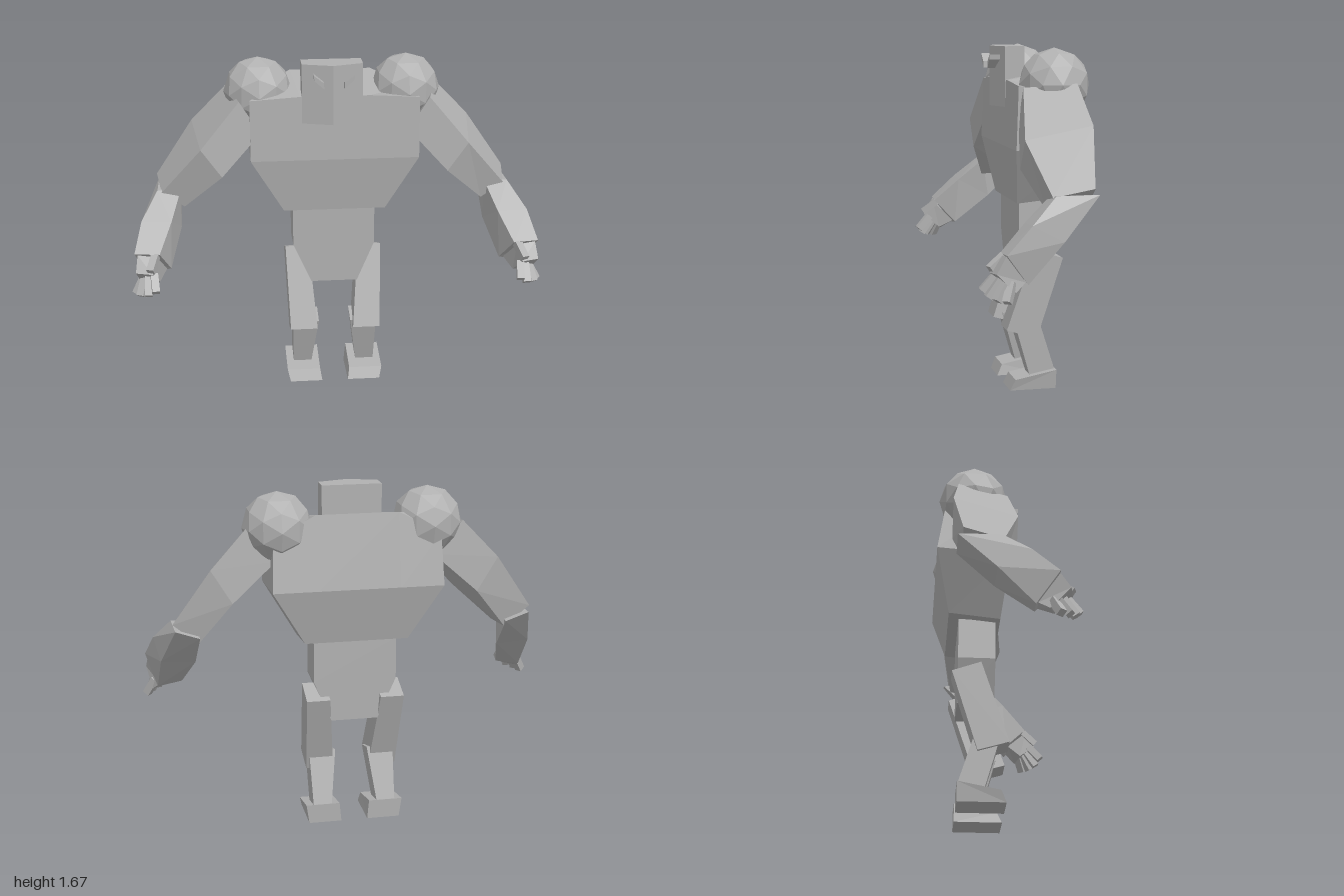
import * as THREE from 'three';

// Lofts equal-length loops into a closed faceted solid. Each loop lists its
// front row, then its back row reversed, so the caps can be closed as strips.
function loft(loops) {
  const n = loops[0].length, tris = [];
  const quad = (a, b, c, d) => tris.push([a, b, c], [a, c, d]);
  for (let k = 0; k + 1 < loops.length; k++)
    for (let i = 0; i < n; i++) {
      const j = (i + 1) % n;
      quad(loops[k][i], loops[k][j], loops[k + 1][j], loops[k + 1][i]);
    }
  const first = loops[0], last = loops[loops.length - 1];
  for (let i = 0; i < n / 2 - 1; i++) {
    quad(first[n - 1 - i], first[n - 2 - i], first[i + 1], first[i]);
    quad(last[i], last[i + 1], last[n - 2 - i], last[n - 1 - i]);
  }
  // Turn every face outward, whichever way the loops run
  let volume = 0;
  for (const [a, b, c] of tris)
    volume += new THREE.Vector3(...a).dot(new THREE.Vector3(...b).cross(new THREE.Vector3(...c)));
  if (volume < 0) tris.forEach(t => t.reverse());
  const g = new THREE.BufferGeometry();
  g.setAttribute('position', new THREE.Float32BufferAttribute(tris.flat(2), 3));
  g.computeVertexNormals();
  return g;
}

// Square bar between two points
function bar(from, to, size) {
  const a = new THREE.Vector3(...from), b = new THREE.Vector3(...to);
  const g = new THREE.BoxGeometry(size, size, a.distanceTo(b));
  const o = new THREE.Object3D();
  o.position.copy(a).lerp(b, 0.5);
  o.lookAt(b);
  o.updateMatrix();
  return g.applyMatrix4(o.matrix);
}

export function createModel() {
  const model = new THREE.Group();
  const grey = new THREE.MeshStandardMaterial({ color: 0xb0b0b0, flatShading: true });
  grey.name = 'stone grey';
  const add = (name, geometry, parent = model) => {
    const m = new THREE.Mesh(geometry, grey);
    m.name = name;
    parent.add(m);
    return m;
  };

  // Torso: half-loops mirrored into [front row, back row]
  const ring = (fo, fm, bo, bm) => {
    const flip = ([x, y, z]) => [-x, y, z];
    return [flip(fo), flip(fm), fm, fo, bo, bm, flip(bm), flip(bo)];
  };
  add('torso', loft([
    ring([0.25, 0.925, 0], [0.13, 0.925, 0], [0.25, 0.95, -0.25], [0.13, 0.95, -0.25]),
    ring([0.41, 1.195, 0.04], [0.2, 1.195, 0.04], [0.41, 1.22, -0.315], [0.2, 1.22, -0.315]),
    ring([0.41, 1.495, 0.03], [0.17, 1.51, 0.03], [0.4, 1.47, -0.275], [0.2, 1.57, -0.26]),
  ]));

  // Waist: rectangular sections narrowing to the hips
  const rect = (x0, x1, y, zf, zb, yb = y) => [[x0, y, zf], [x1, y, zf], [x1, yb, zb], [x0, yb, zb]];
  add('waist', loft([
    rect(-0.115, 0.115, 0.535, -0.02, -0.2),
    rect(-0.205, 0.2, 0.735, -0.02, -0.2),
    rect(-0.205, 0.2, 0.94, -0.02, -0.2),
  ]));

  // Head: prism with a ridge down the face
  const headRing = y => [[-0.16, y, 0.035], [-0.012, y, 0.08], [0.132, y, 0.035],
    [0.132, y, -0.062], [-0.012, y, -0.062], [-0.16, y, -0.062]];
  add('head', loft([headRing(1.38), headRing(1.67)]));

  // Slanted eyes
  for (const s of [-1, 1]) {
    const shape = new THREE.Shape([[0.048, 1.562], [0.095, 1.605], [0.098, 1.63], [0.05, 1.593]]
      .map(([x, y]) => new THREE.Vector2(s * x - 0.01, y)));
    add('eye', new THREE.ExtrudeGeometry(shape, { depth: 0.055, bevelEnabled: false })
      .translate(0, 0, 0.046));
  }

  for (const s of [-1, 1]) {
    const side = s > 0 ? 'left' : 'right';
    const mx = loop => loop.map(([x, y, z]) => [s * x, y, z]);

    // Shoulder ball
    add(side + 'Shoulder', new THREE.IcosahedronGeometry(0.168, 1))
      .position.set(s * 0.362, 1.502, s > 0 ? -0.15 : -0.14);

    // Arm sections: front outer, front inner, back inner, back outer
    const arm = new THREE.Group();
    arm.name = side + 'Arm';
    model.add(arm);
    add(side + 'UpperArm', loft([
      mx([[0.46, 1.49, 0.02], [0.36, 1.33, 0.02], [0.38, 1.35, -0.22], [0.52, 1.51, -0.22]]),
      mx([[0.65, 1.265, 0.055], [0.55, 1.125, 0.055], [0.59, 1.165, -0.25], [0.69, 1.33, -0.25]]),
      mx([[0.845, 1.03, -0.025], [0.735, 0.955, -0.025], [0.75, 0.965, -0.2], [0.87, 1.068, -0.21]]),
    ]), arm);
    add(side + 'Forearm', loft([
      mx([[0.865, 1.04, -0.035], [0.755, 1.03, -0.035], [0.745, 1.0, -0.235], [0.86, 1.04, -0.235]]),
      mx([[0.945, 0.925, 0.09], [0.8, 0.92, 0.09], [0.755, 0.835, -0.065], [0.92, 0.845, -0.06]]),
      mx([[0.98, 0.805, 0.21], [0.86, 0.8, 0.215], [0.81, 0.685, 0.11], [0.93, 0.665, 0.105]]),
    ]), arm);
    add(side + 'Palm', loft([
      mx([[0.965, 0.80, 0.21], [0.875, 0.79, 0.22], [0.83, 0.69, 0.12], [0.92, 0.675, 0.115]]),
      mx([[0.975, 0.725, 0.255], [0.895, 0.72, 0.27], [0.865, 0.65, 0.19], [0.95, 0.635, 0.165]]),
    ]), arm);

    // Fingers fan across the palm, thumb on the front side
    const fingers = [
      [[0.89, 0.71, 0.24], [0.882, 0.64, 0.3]],
      [[0.915, 0.70, 0.22], [0.918, 0.615, 0.28]],
      [[0.93, 0.69, 0.2], [0.955, 0.605, 0.25]],
      [[0.935, 0.68, 0.18], [0.977, 0.6, 0.21]],
      [[0.88, 0.79, 0.2], [0.905, 0.735, 0.27]],
    ];
    fingers.forEach(([a, b], i) => add(side + (i < 4 ? 'Finger' : 'Thumb'),
      bar([s * a[0], a[1], a[2]], [s * b[0], b[1], b[2]], 0.036), arm));

    // Leg
    const leg = new THREE.Group();
    leg.name = side + 'Leg';
    model.add(leg);
    add(side + 'Thigh', loft([
      mx(rect(0.09, 0.225, 0.3, 0.045, -0.105, 0.255)),
      mx(rect(0.125, 0.24, 0.7, -0.09, -0.23, 0.65)),
    ]), leg);
    add(side + 'Shin', loft([
      mx(rect(0.115, 0.205, 0.06, -0.075, -0.2, 0.085)),
      mx(rect(0.08, 0.212, 0.32, 0, -0.115, 0.35)),
    ]), leg);
    add(side + 'Foot', loft([
      mx(rect(0.066, 0.228, 0, 0.03, -0.2)),
      mx(rect(0.075, 0.242, 0.055, 0.005, -0.2, 0.095)),
    ]), leg);
  }
  return model;
}
